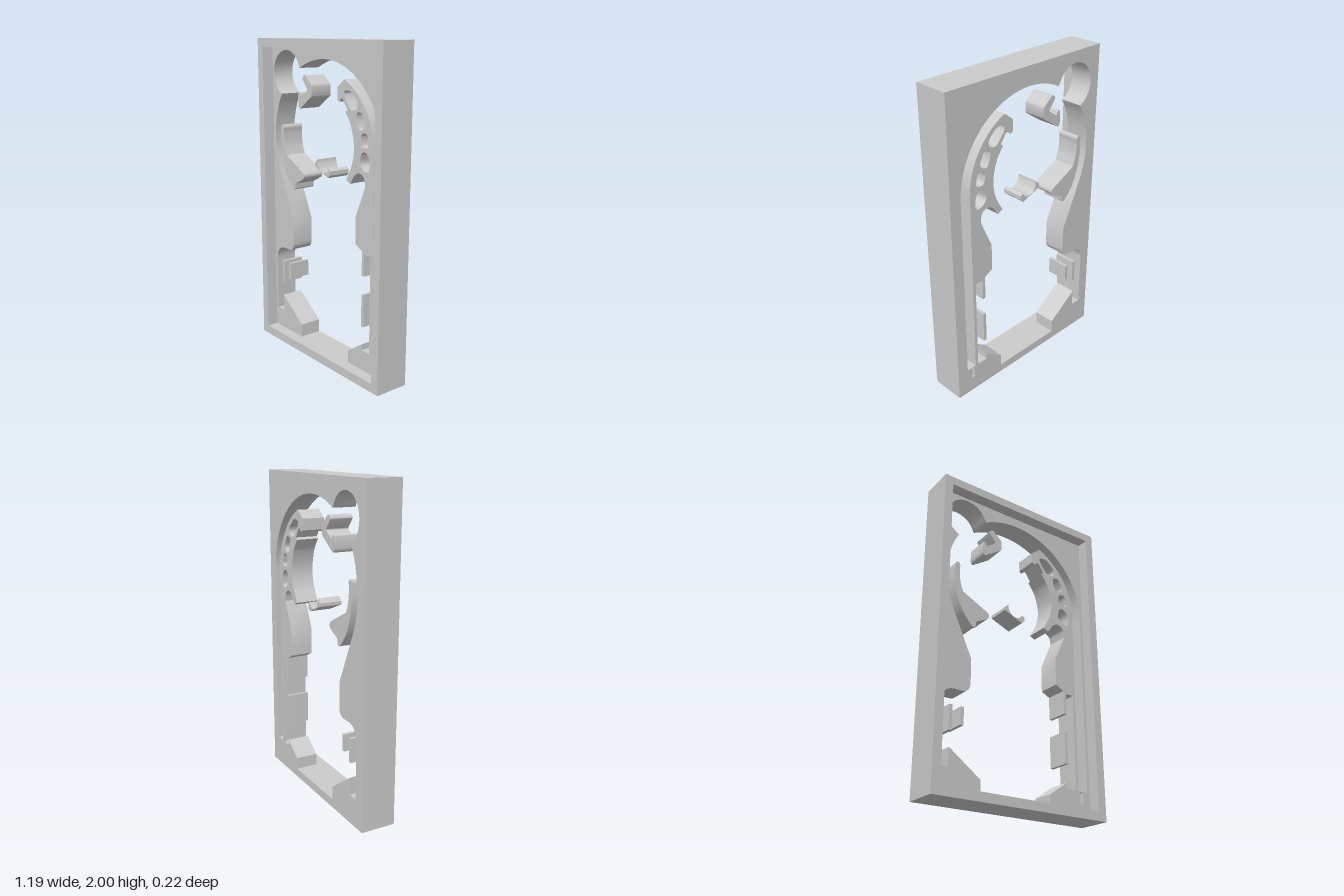
import * as THREE from 'three';
import { toCreasedNormals } from 'three/addons/utils/BufferGeometryUtils.js';

const W = 0.595, H = 2, BACK = -0.11, DECK = 0.035, FRONT = 0.11, RIM = 0.055;
const material = new THREE.MeshStandardMaterial({ color: 0xcccccc });

const lines = (path, pts) => pts.forEach(([x, y]) => path.lineTo(x, y));
const spline = (path, pts) => path.splineThru(pts.map(([x, y]) => new THREE.Vector2(x, y)));

function rect(x0, y0, x1, y1) {
  return new THREE.Shape([[x0, y0], [x1, y0], [x1, y1], [x0, y1]].map(p => new THREE.Vector2(...p)));
}

// Closed polygon whose corners are rounded by radius r
function rounded(pts, r) {
  const v = pts.map(([x, y]) => new THREE.Vector2(x, y));
  const shape = new THREE.Shape();
  v.forEach((p, i) => {
    const toward = q => {
      const d = q.clone().sub(p);
      return p.clone().add(d.setLength(Math.min(r, d.length() * 0.48)));
    };
    const a = toward(v[(i + v.length - 1) % v.length]);
    const b = toward(v[(i + 1) % v.length]);
    if (i === 0) shape.moveTo(a.x, a.y); else shape.lineTo(a.x, a.y);
    shape.quadraticCurveTo(p.x, p.y, b.x, b.y);
  });
  shape.closePath();
  return shape;
}

function slab(name, shape, z0, z1) {
  const geo = new THREE.ExtrudeGeometry(shape, { depth: z1 - z0, bevelEnabled: false, curveSegments: 10 });
  geo.translate(0, 0, z0);
  const mesh = new THREE.Mesh(toCreasedNormals(geo, 0.5), material);
  mesh.name = name;
  return mesh;
}

// The large opening, traced clockwise from the bottom drain
function opening() {
  const p = new THREE.Path();
  p.moveTo(-0.247, RIM);
  // left corner block and lower-left pocket
  lines(p, [[-0.247, 0.14], [-0.455, 0.29], [-0.455, 0.18], [-0.522, 0.18], [-0.522, 0.53]]);
  p.bezierCurveTo(-0.522, 0.59, -0.49, 0.63, -0.435, 0.63);
  p.lineTo(-0.385, 0.63);
  p.quadraticCurveTo(-0.328, 0.63, -0.328, 0.69);
  // left side wall
  lines(p, [[-0.328, 0.84], [-0.44, 1.085]]);
  spline(p, [[-0.485, 1.19], [-0.511, 1.29], [-0.517, 1.39], [-0.502, 1.50], [-0.474, 1.59], [-0.44, 1.655]]);
  // round corner pocket and top arch
  p.absarc(-0.385, 1.786, 0.143, 247 * Math.PI / 180, 17 * Math.PI / 180, true);
  p.absarc(0, 1.365, 0.52, 118 * Math.PI / 180, 0, true);
  // outer lane and its thin dividing wall
  lines(p, [[0.52, 0.18], [0.453, 0.18]]);
  p.absarc(0, 1.365, 0.454, 0, 65.5 * Math.PI / 180, false);
  // curved arm at upper right
  lines(p, [[0.125, 1.73], [0.125, 1.66], [0.14, 1.648], [0.172, 1.672], [0.217, 1.608], [0.2, 1.595]]);
  spline(p, [[0.25, 1.52], [0.278, 1.404], [0.262, 1.3], [0.21, 1.2]]);
  lines(p, [[0.246, 1.182], [0.285, 1.238]]);
  spline(p, [[0.326, 1.256], [0.367, 1.235], [0.38, 1.18]]);
  // right side wall, hanging fin and right corner block
  lines(p, [[0.3, 1.0], [0.3, 0.83], [0.358, 0.8], [0.358, 0.65], [0.379, 0.65], [0.379, 0.784],
    [0.433, 0.784], [0.433, 0.18], [0.363, 0.18], [0.363, 0.217], [0.237, 0.132], [0.237, RIM]]);
  p.closePath();
  return p;
}

export function createModel() {
  const model = new THREE.Group();
  model.name = 'pinballBoard';

  // Deck plate with the opening, arm windows and small slot
  const deck = rect(-W, 0, W, H);
  const windows = [
    [[0.185, 1.715], [0.245, 1.72], [0.312, 1.655], [0.3, 1.61], [0.25, 1.605], [0.19, 1.68]],
    [[0.297, 1.6], [0.345, 1.605], [0.377, 1.535], [0.36, 1.507], [0.32, 1.5], [0.297, 1.555]],
    [[0.345, 1.488], [0.395, 1.49], [0.41, 1.41], [0.35, 1.405], [0.338, 1.45]],
    [[0.345, 1.382], [0.39, 1.382], [0.415, 1.345], [0.415, 1.272], [0.37, 1.27], [0.328, 1.31]],
  ];
  deck.holes.push(opening(), rect(0.464, 0.1, 0.485, 0.174), ...windows.map(w => rounded(w, 0.025)));
  model.add(slab('deck', deck, BACK, DECK));

  // Raised border around the front
  const rim = rect(-W, 0, W, H);
  rim.holes.push(rect(-W + RIM, RIM, W - RIM, H - RIM));
  model.add(slab('rim', rim, DECK, FRONT));

  // Free-standing guides inside the opening
  const upperGuide = rounded([[-0.22, 1.762], [-0.194, 1.787], [-0.122, 1.727], [-0.122, 1.658],
    [-0.25, 1.573], [-0.262, 1.59], [-0.262, 1.675], [-0.243, 1.675], [-0.235, 1.648], [-0.165, 1.695]], 0.012);
  model.add(slab('upperGuide', upperGuide, BACK, DECK));

  const sideGuide = new THREE.Shape();
  sideGuide.moveTo(-0.458, 1.435);
  sideGuide.bezierCurveTo(-0.458, 1.465, -0.424, 1.465, -0.424, 1.435);
  spline(sideGuide, [[-0.427, 1.4], [-0.42, 1.33], [-0.398, 1.265]]);
  sideGuide.lineTo(-0.225, 1.178);
  sideGuide.bezierCurveTo(-0.2, 1.163, -0.206, 1.14, -0.225, 1.13);
  lines(sideGuide, [[-0.3, 1.092], [-0.303, 1.06]]);
  sideGuide.quadraticCurveTo(-0.318, 1.042, -0.337, 1.06);
  spline(sideGuide, [[-0.4, 1.14], [-0.44, 1.24], [-0.458, 1.34], [-0.458, 1.435]]);
  model.add(slab('sideGuide', sideGuide, BACK, DECK));

  const cradle = new THREE.Shape();
  cradle.moveTo(-0.093, 1.255);
  lines(cradle, [[-0.066, 1.282], [-0.064, 1.255]]);
  spline(cradle, [[-0.045, 1.222], [-0.01, 1.207], [0.025, 1.215], [0.042, 1.238]]);
  lines(cradle, [[0.058, 1.225], [0.058, 1.2], [0.038, 1.182], [-0.093, 1.235]]);
  cradle.closePath();
  model.add(slab('cradle', cradle, BACK, DECK));

  // Thin upright fins
  [['outerLeftFin', -0.462, 0.385], ['innerLeftFin', -0.388, 0.428], ['rightFin', 0.358, 0.333]]
    .forEach(([name, x, y]) => model.add(slab(name, rect(x, y, x + 0.021, 0.535), BACK, DECK)));

  return model;
}
